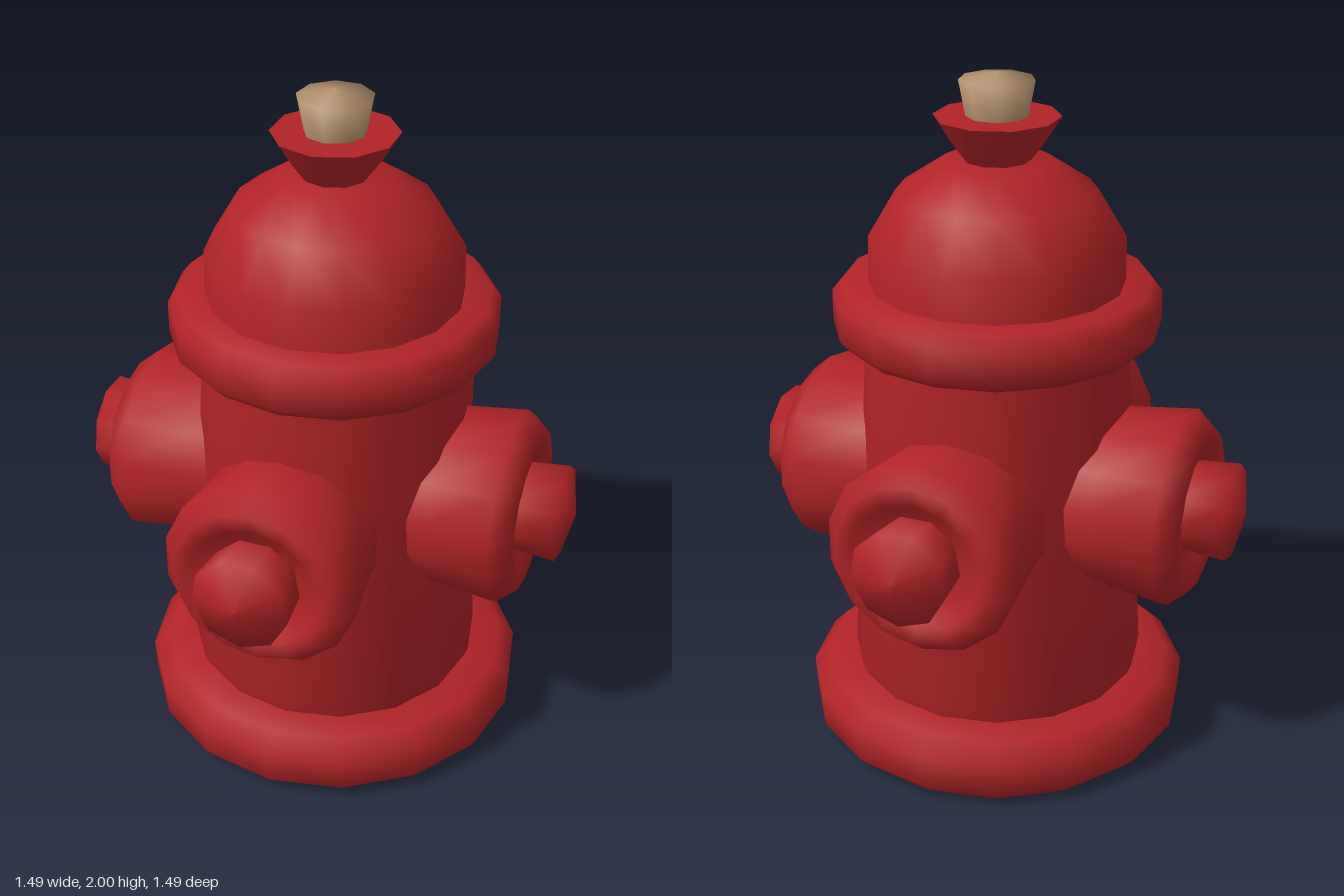
import * as THREE from 'three';
import { toCreasedNormals } from 'three/addons/utils/BufferGeometryUtils.js';

export function createModel() {
  const red = new THREE.MeshStandardMaterial({ name: 'hydrantRed', color: 0xb02326 });
  const tan = new THREE.MeshStandardMaterial({ name: 'brassTan', color: 0xb08e6a });
  const model = new THREE.Group();
  model.name = 'fireHydrant';

  // Turned part from [radius, height] pairs, listed bottom to top
  function turned(name, profile, sides, material = red, creased = true) {
    const points = profile.map(([r, y]) => new THREE.Vector2(r, y));
    let geometry = new THREE.LatheGeometry(points, sides);
    if (creased) geometry = toCreasedNormals(geometry, 1.05);
    const mesh = new THREE.Mesh(geometry, material);
    mesh.name = name;
    return mesh;
  }

  // Central column, sitting slightly off the middle
  const column = new THREE.Group();
  column.name = 'column';
  column.position.x = 0.013;
  model.add(column);
  column.add(
    // Foot ring with an open, recessed underside
    turned('baseRing', [
      [0.35, 0.07], [0.36, 0.02], [0.4, 0], [0.515, 0], [0.565, 0.05],
      [0.57, 0.15], [0.52, 0.2], [0.4, 0.2],
    ], 16),
    turned('barrel', [[0, 0.06], [0.41, 0.06], [0.425, 0.2], [0.437, 0.23], [0.375, 1.3]], 16),
    turned('collar', [
      [0.34, 1.25], [0.435, 1.25], [0.468, 1.285], [0.468, 1.375], [0.44, 1.41], [0.34, 1.41],
    ], 16),
    turned('dome', [
      [0.365, 1.38], [0.362, 1.535], [0.282, 1.67], [0.155, 1.755], [0, 1.765],
    ], 16),
    turned('topFlange', [[0.085, 1.745], [0.13, 1.805], [0.177, 1.88], [0, 1.88]], 10),
    turned('topNut', [[0.085, 1.87], [0.106, 1.98], [0, 2]], 9, tan, false),
  );

  // Four outlets: a chamfered cap with a pointed nut, one on each side
  ['front', 'left', 'back', 'right'].forEach((side, i) => {
    const outlet = new THREE.Group();
    outlet.name = side + 'Outlet';
    outlet.rotation.y = i * Math.PI / 2;
    const cap = turned('outletCap', [
      [0.255, 0.2], [0.262, 0.37], [0.285, 0.56], [0.238, 0.615], [0.19, 0.612], [0.17, 0.59], [0, 0.59],
    ], 14);
    const nut = turned('outletNut', [[0.128, 0.57], [0.141, 0.71], [0, 0.745]], 9, red, false);
    cap.rotation.x = nut.rotation.x = Math.PI / 2;
    cap.position.y = 0.797;
    nut.position.y = 0.81;
    outlet.add(cap, nut);
    model.add(outlet);
  });

  return model;
}
